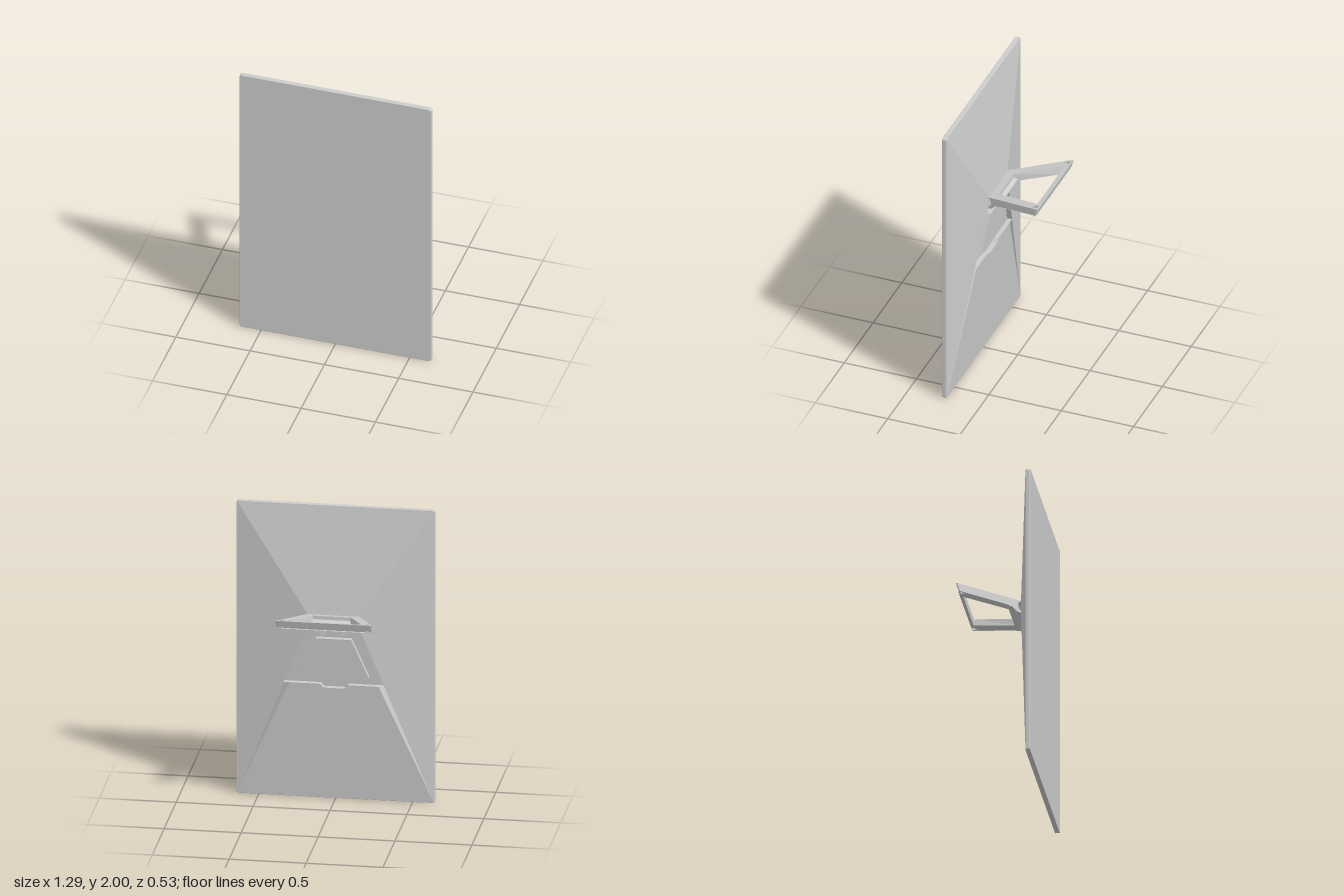
import * as THREE from 'three';

const mat = new THREE.MeshStandardMaterial({ color: 0xcccccc, flatShading: true, side: THREE.DoubleSide });

function add(parent, name, geo) {
  const m = new THREE.Mesh(geo, mat);
  m.name = name;
  parent.add(m);
  return m;
}

// Full outline from its +x half, listed top to bottom
const mirror = (half) => [...half, ...[...half].reverse().map(([x, y]) => [-x, y])];
const toShape = (pts) => new THREE.Shape(pts.map(([x, y]) => new THREE.Vector2(x, y)));

// Depth of the sloping lower back
const backZ = (y) => 0.135 + ((1.21 - y) * 0.1) / 1.203;

// Flat outline laid on the sloping back, facing the rear
function backFace(pts, sink = 0) {
  const g = new THREE.ShapeGeometry(toShape(pts));
  const p = g.attributes.position;
  for (let i = 0; i < p.count; i++) p.setZ(i, backZ(p.getY(i)) + sink);
  g.index.array.reverse();
  g.computeVertexNormals();
  return g;
}

// Polygons given as corner loops, cut into fans
function polygons(list) {
  const v = [];
  for (const poly of list)
    for (let i = 1; i < poly.length - 1; i++) v.push(...poly[0], ...poly[i], ...poly[i + 1]);
  const g = new THREE.BufferGeometry();
  g.setAttribute('position', new THREE.Float32BufferAttribute(v, 3));
  g.computeVertexNormals();
  return g;
}

// Walls dropping from an outline on the back down to the recess floor
function walls(pts, sink) {
  return polygons(pts.map(([x, y], i) => {
    const [u, w] = pts[(i + 1) % pts.length];
    return [[x, y, backZ(y)], [u, w, backZ(w)], [u, w, backZ(w) + sink], [x, y, backZ(y) + sink]];
  }));
}

// Rectangle with rounded corners
function roundedRect(w, h, r) {
  const s = new THREE.Shape();
  s.absarc(w - r, h - r, r, 0, Math.PI / 2);
  s.absarc(-w + r, h - r, r, Math.PI / 2, Math.PI);
  s.absarc(-w + r, -h + r, r, Math.PI, Math.PI * 1.5);
  s.absarc(w - r, -h + r, r, Math.PI * 1.5, Math.PI * 2);
  return s;
}

function createPanel() {
  const panel = new THREE.Group();
  panel.name = 'panel';

  // Thin front slab with softened edges
  const bev = 0.004;
  const slab = new THREE.ExtrudeGeometry(roundedRect(0.645 - bev, 1 - bev, 0.014), {
    depth: 0.032 - 2 * bev, bevelSize: bev, bevelThickness: bev, bevelSegments: 2, curveSegments: 4,
  });
  slab.translate(0, 1, 0.235 + bev);
  add(panel, 'frontSlab', slab);

  // Upper, side and hinge faces of the tapered back
  const A = [0.167, 1.285, 0.135], B = [0.167, 1.21, 0.135];
  const C = [0.638, 0.007, 0.235], D = [0.638, 1.993, 0.235];
  const flip = ([x, y, z]) => [-x, y, z];
  const side = [A, D, C, B];
  add(panel, 'backShell', polygons([
    [A, flip(A), flip(D), D],
    [flip(A), A, B, flip(B)],
    side, side.map(flip).reverse(),
  ]));

  // Lower back with the stand recess, finger notch and raised island
  const depth = 0.035;
  const notch = [[0.09, 0.8], [0.07, 0.775]];
  const groove = mirror([[0.167, 1.21], [0.3275, 0.8], ...notch]);
  const island = mirror([[0.115, 1.12], [0.225, 0.86]]);
  add(panel, 'lowerBack', backFace([
    [0.638, 0.007], [0.29, 0.8], ...notch,
    [-0.07, 0.775], [-0.09, 0.8], [-0.29, 0.8], [-0.638, 0.007],
  ]));
  add(panel, 'recessFloor', backFace(groove, depth));
  add(panel, 'recessWalls', walls(groove, depth));
  add(panel, 'recessIsland', backFace(island));
  add(panel, 'islandWalls', walls(island, depth));

  // Tapering channels running from the recess to the bottom corners
  const E = [0.29, 0.8, backZ(0.8)], V = [0.32, 0.8, backZ(0.8) + 0.025], S = [0.3275, 0.8, backZ(0.8)];
  const channel = [[E, V, C], [V, S, C]];
  add(panel, 'cornerChannels', polygons([...channel, ...channel.map((t) => t.map(flip).reverse())]));

  // Hinge brackets inside the recess
  for (const s of [-1, 1]) {
    const b = new THREE.BoxGeometry(0.035, 0.06, 0.03);
    b.translate(s * 0.07, 1.175, 0.157);
    add(panel, 'hingeBracket', b);
  }
  return panel;
}

function createStand() {
  const stand = new THREE.Group();
  stand.name = 'foldingStand';
  const halfWidth = (z) => 0.17 + (0.135 - z) * 0.365;
  const thick = 0.052;

  // Trapezoid frame in plan (second coordinate is -z)
  const tip = 0.267, w = halfWidth(-tip), r = 0.015;
  const frame = new THREE.Shape();
  frame.moveTo(-halfWidth(0.1), -0.1);
  frame.lineTo(halfWidth(0.1), -0.1);
  frame.lineTo(w - r * 0.35, tip - r);
  frame.quadraticCurveTo(w, tip, w - r, tip);
  frame.lineTo(-w + r, tip);
  frame.quadraticCurveTo(-w, tip, -w + r * 0.35, tip - r);
  frame.closePath();
  frame.holes.push(toShape(mirror([[0.125, -0.075], [0.24, 0.232]])));
  for (const s of [-1, 1]) {
    const hole = new THREE.Path();
    hole.absellipse(s * 0.277, 0.233, 0.015, 0.021, 0, Math.PI * 2, true);
    frame.holes.push(hole);
  }
  const g = new THREE.ExtrudeGeometry(frame, { depth: thick, bevelEnabled: false, curveSegments: 8 });
  g.rotateX(-Math.PI / 2);
  g.translate(0, -thick, 0);

  // Tilt the frame upward, undercut the tip and narrow the opening below
  const p = g.attributes.position;
  for (let i = 0; i < p.count; i++) {
    let x = p.getX(i), z = p.getZ(i);
    const y = p.getY(i) + 1.285 + 0.225 * (0.135 - z);
    if (p.getY(i) < -0.01) {
      if (z < -0.245 && Math.abs(x) < w - 0.001 && z < -0.255) z += 0.018;
      else if (z > -0.24 && Math.abs(x) < halfWidth(z) - 0.055) x *= 0.92;
    }
    p.setXYZ(i, x, y, z);
  }
  g.computeVertexNormals();
  add(stand, 'standFrame', g);

  // Hooked hinge end, profile in (z, y), swept across the width
  const hook = new THREE.Shape();
  hook.moveTo(0.137, 1.285);
  hook.lineTo(0.075, 1.2985);
  hook.lineTo(0.075, 1.275);
  hook.lineTo(0.05, 1.262);
  hook.lineTo(0.05, 1.25);
  hook.lineTo(0.075, 1.242);
  hook.quadraticCurveTo(0.09, 1.236, 0.1, 1.22);
  hook.quadraticCurveTo(0.115, 1.203, 0.14, 1.2);
  hook.lineTo(0.14, 1.217);
  hook.quadraticCurveTo(0.115, 1.218, 0.115, 1.25);
  hook.quadraticCurveTo(0.115, 1.278, 0.137, 1.28);
  hook.closePath();
  const h = new THREE.ExtrudeGeometry(hook, { depth: 2, bevelEnabled: false, curveSegments: 6 });
  h.translate(0, 0, -1);
  h.rotateY(-Math.PI / 2);
  const q = h.attributes.position;
  for (let i = 0; i < q.count; i++) {
    const t = q.getX(i), z = q.getY(i) === undefined ? 0 : q.getZ(i);
    q.setX(i, t * (halfWidth(z) - 0.0005));
  }
  h.computeVertexNormals();
  add(stand, 'standHinge', h);
  return stand;
}

export function createModel() {
  const model = new THREE.Group();
  model.name = 'displayPanel';
  model.add(createPanel(), createStand());
  return model;
}
